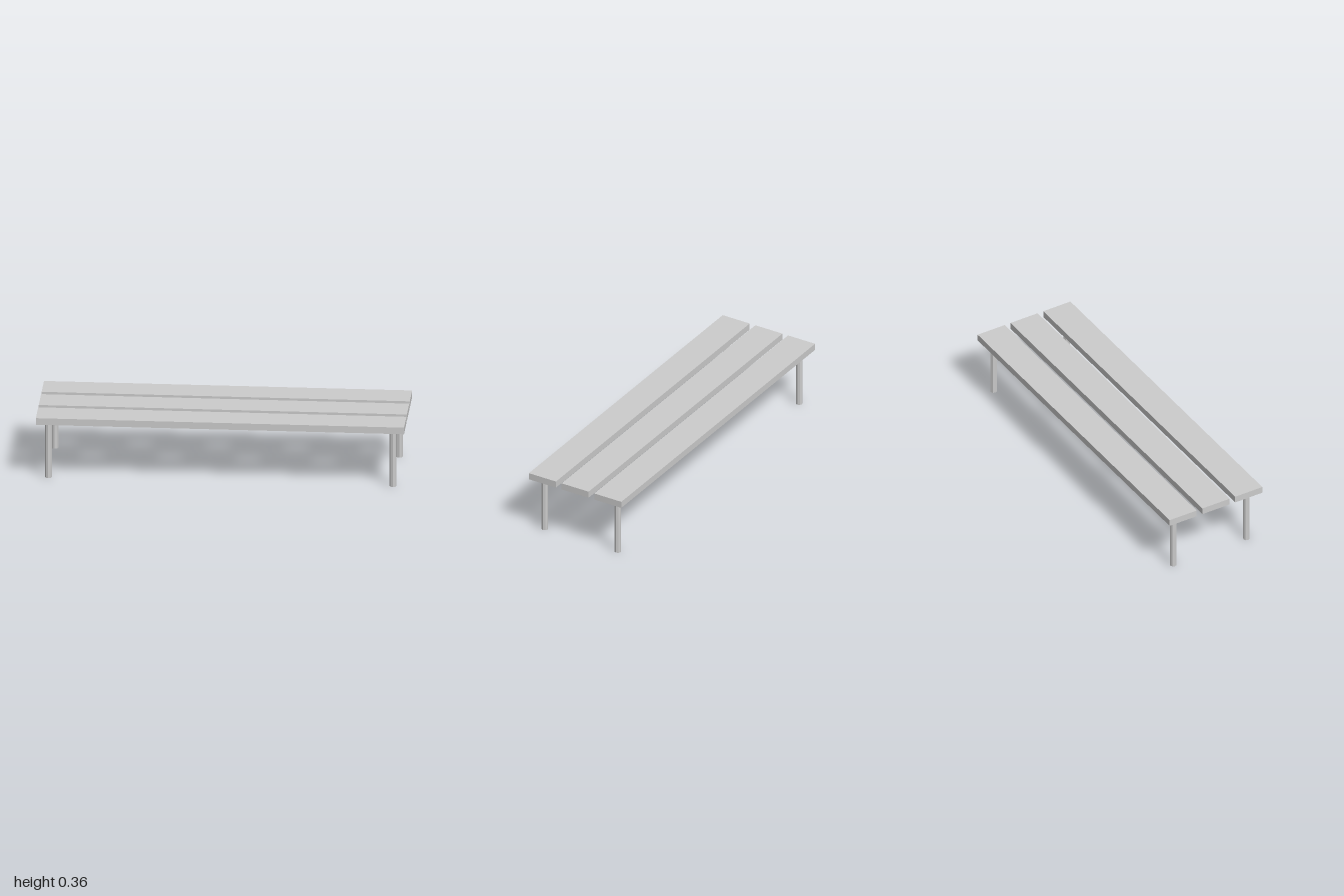
import * as THREE from 'three';

export function createModel() {
  const bench = new THREE.Group();
  bench.name = 'bench';
  const material = new THREE.MeshStandardMaterial({ color: 0xcccccc, flatShading: true });

  const legHeight = 0.322;
  const plankThickness = 0.038;

  // Three seat planks with gaps between them
  const plankGeometry = new THREE.BoxGeometry(2, plankThickness, 0.172);
  ['backPlank', 'middlePlank', 'frontPlank'].forEach((name, i) => {
    const plank = new THREE.Mesh(plankGeometry, material);
    plank.name = name;
    plank.position.set(0, legHeight + plankThickness / 2, (i - 1) * 0.208);
    bench.add(plank);
  });

  // Four octagonal legs under the outer planks
  const legGeometry = new THREE.CylinderGeometry(0.0185, 0.0185, legHeight, 8);
  for (const x of [-1, 1]) {
    for (const z of [-1, 1]) {
      const leg = new THREE.Mesh(legGeometry, material);
      leg.name = (z > 0 ? 'front' : 'back') + (x > 0 ? 'Left' : 'Right') + 'Leg';
      leg.position.set(x * 0.936, legHeight / 2, z * 0.232);
      bench.add(leg);
    }
  }

  return bench;
}
